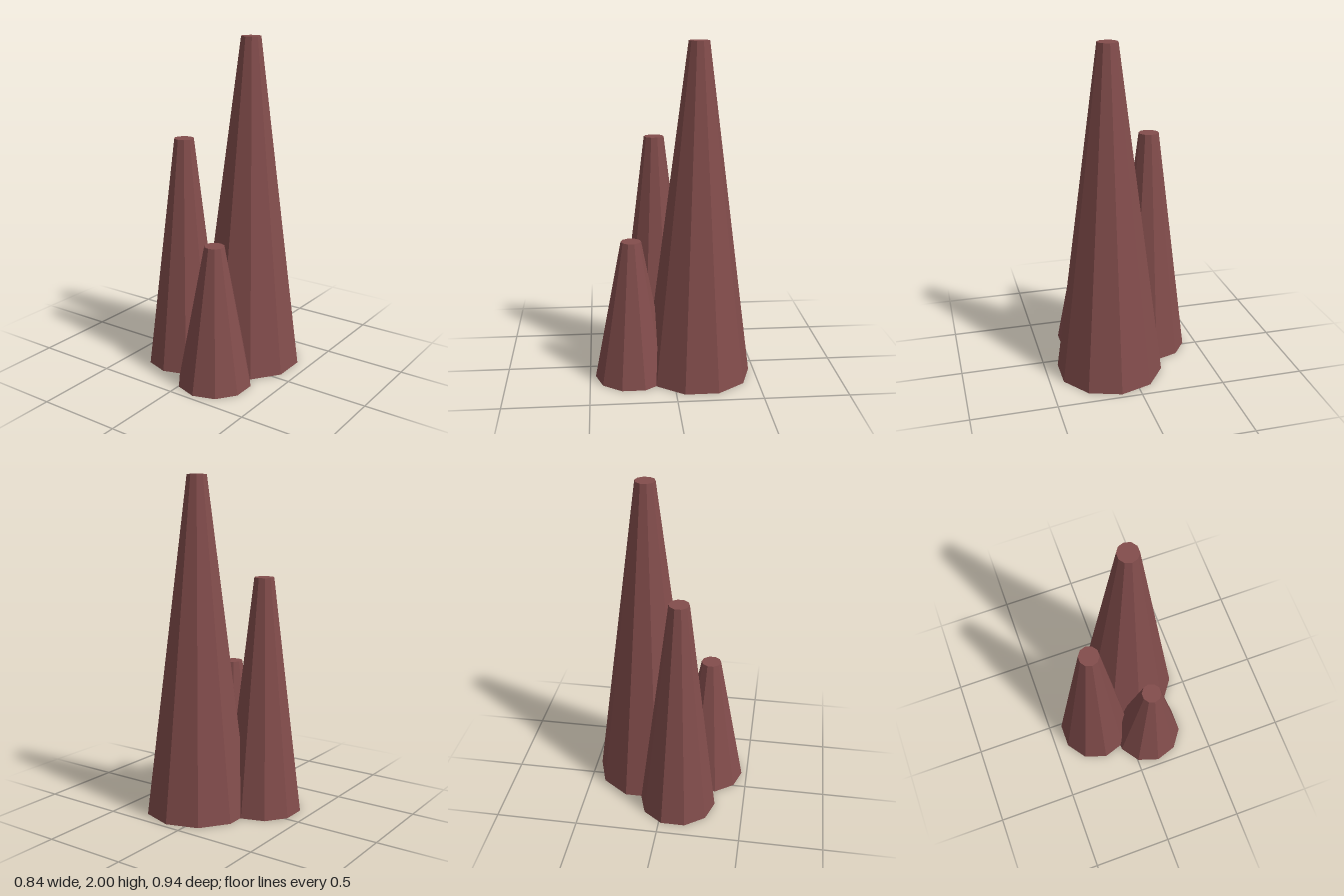
import * as THREE from 'three';

export function createModel() {
  const group = new THREE.Group();
  const rock = new THREE.MeshStandardMaterial({ color: 0x834d4c, flatShading: true });
  rock.name = 'reddish brown rock';

  // Ten-sided tapering spire with a small flat tip, standing on y = 0
  const addSpire = (name, x, z, baseRadius, height) => {
    const geometry = new THREE.CylinderGeometry(0.06, baseRadius, height, 10);
    geometry.translate(0, height / 2, 0);
    const spire = new THREE.Mesh(geometry, rock);
    spire.name = name;
    spire.position.set(x, 0, z);
    group.add(spire);
  };

  addSpire('tallSpire', 0.113, -0.15, 0.32, 2);
  addSpire('middleSpire', -0.195, 0.088, 0.235, 1.41);
  addSpire('shortSpire', 0.135, 0.245, 0.222, 0.85);

  return group;
}
